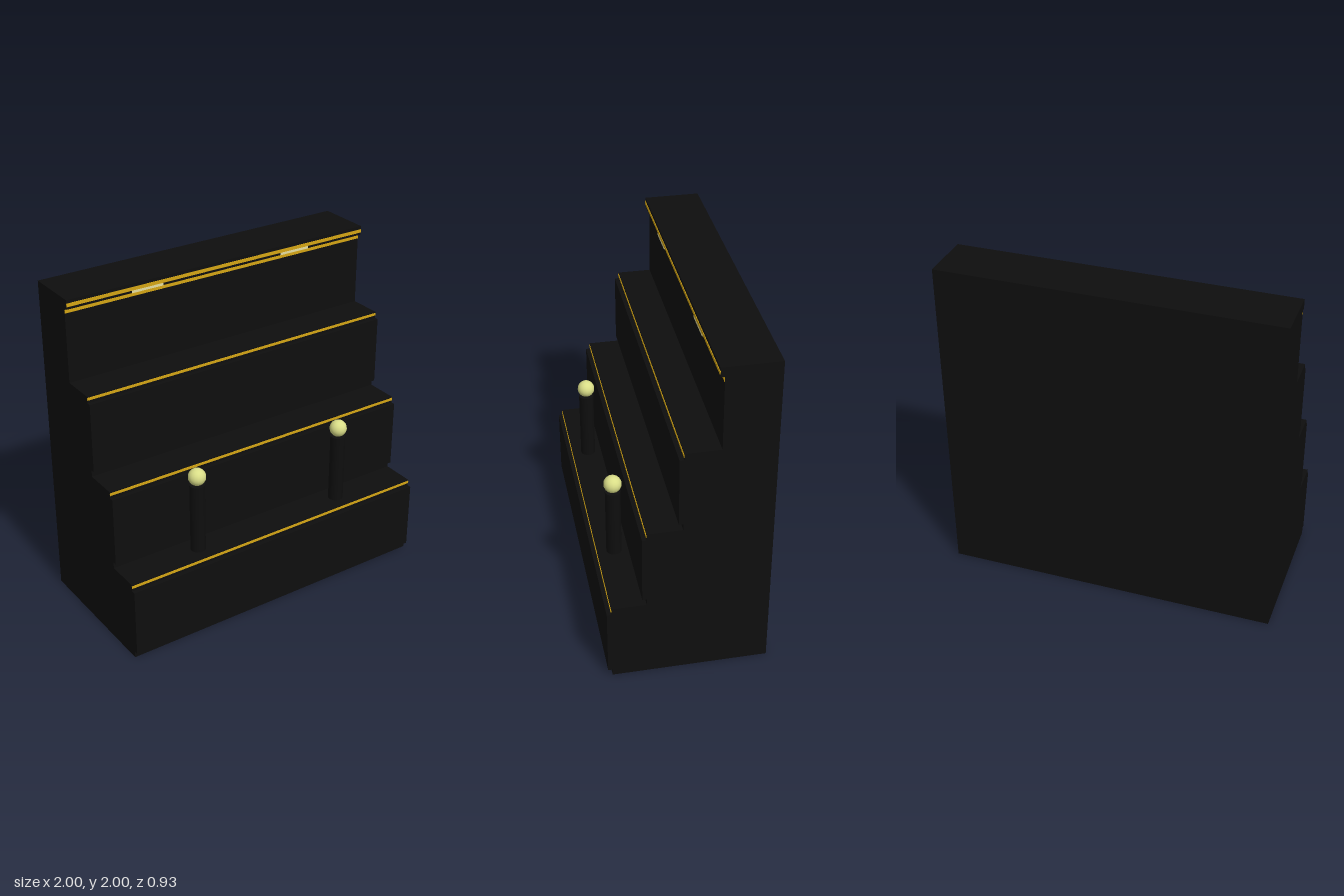
import * as THREE from 'three';

export function createModel() {
  const model = new THREE.Group();
  const material = (name, color) => {
    const m = new THREE.MeshStandardMaterial({ color });
    m.name = name;
    return m;
  };
  const black = material('black', 0x0e0e0e);
  const gold = material('gold', 0xd4a514);
  const globe = material('pale globe', 0xdade88);
  const glow = material('pale lamp', 0xe8e0a0);

  const add = (name, geometry, mat, x, y, z) => {
    const mesh = new THREE.Mesh(geometry, mat);
    mesh.name = name;
    mesh.position.set(x, y, z);
    model.add(mesh);
  };
  // Box given by its width and its y and z ranges
  const slab = (name, mat, x, width, y0, y1, z0, z1) =>
    add(name, new THREE.BoxGeometry(width, y1 - y0, z1 - z0), mat, x, (y0 + y1) / 2, (z0 + z1) / 2);

  // Stepped body with raised riser panels and an overhanging cornice, as one side profile
  const back = -0.463, lip = 0.025;
  const profile = [[back, 0]];
  for (let i = 0; i < 3; i++) {
    const z = 0.44 - i * 0.2, y = i * 0.5;
    profile.push([z, y], [z, y + 0.04], [z + lip, y + 0.04], [z + lip, y + 0.46], [z, y + 0.46], [z, y + 0.5]);
  }
  profile.push([-0.16, 1.5], [-0.16, 1.945], [-0.135, 1.945], [-0.135, 2], [back, 2]);
  const shape = new THREE.Shape(profile.map(([z, y]) => new THREE.Vector2(-z, y)));
  const body = new THREE.ExtrudeGeometry(shape, { depth: 2, bevelEnabled: false });
  body.translate(0, 0, -1).rotateY(Math.PI / 2);
  add('steppedBody', body, black, 0, 0, 0);

  // Gold edging on each step
  for (let i = 0; i < 3; i++) {
    const z = 0.44 - i * 0.2, y = 0.485 + i * 0.5;
    slab('stepTrim', gold, 0, 2, y - 0.008, y + 0.008, z - 0.002, z + 0.003);
  }
  // Gold bands on and below the cornice
  slab('corniceTrim', gold, 0, 2, 1.96, 1.98, -0.137, -0.132);
  slab('upperWallTrim', gold, 0, 2, 1.915, 1.935, -0.162, -0.157);

  for (const side of [-1, 1]) {
    // Lamp strip under the cornice trim
    slab('lampStrip', glow, side * 0.5, 0.2, 1.945, 1.96, -0.137, -0.132);
    // Post with a globe on the lowest step
    const post = new THREE.CylinderGeometry(0.045, 0.045, 0.43, 16);
    add('post', post, black, side * 0.5, 0.715, 0.34);
    add('globe', new THREE.SphereGeometry(0.052, 16, 12), globe, side * 0.5, 0.98, 0.34);
  }
  return model;
}
